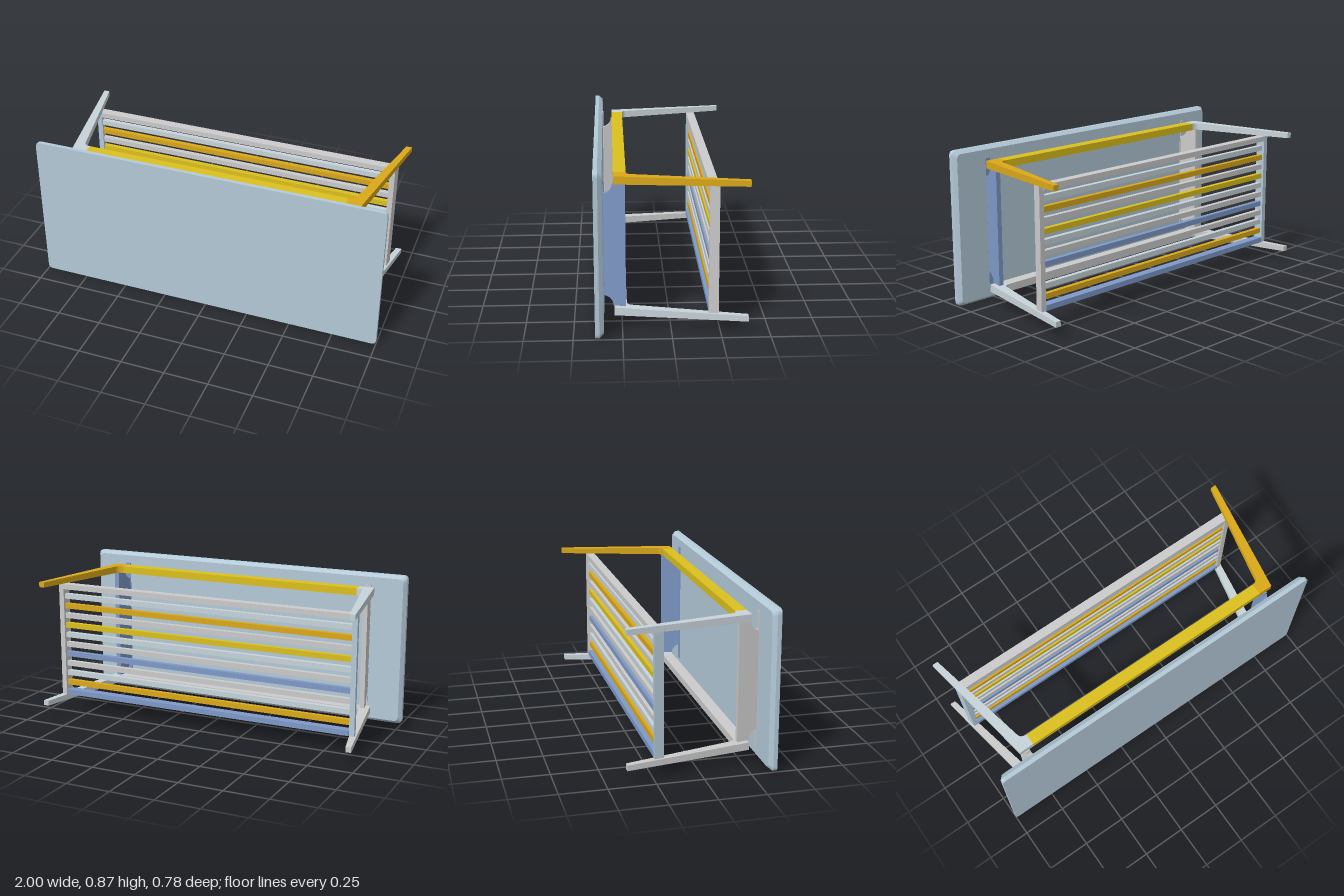
import * as THREE from 'three';

const GREY = 0xcccccc, PALE = 0xc8d4da, SKY = 0xb4cad8, BLUE = 0x7f9ac8, GOLD = 0xdba91a, YELLOW = 0xdcc01e;
const MID = 0.435; // mirror plane between the two long sides
const SLOPE = 0.176; // outward splay of the legs

function add(parent, name, geometry, color, x = 0, y = 0, z = 0) {
  const m = new THREE.Mesh(geometry, new THREE.MeshStandardMaterial({ color }));
  m.name = name;
  m.position.set(x, y, z);
  parent.add(m);
  return m;
}

// Move every vertex by a rule, then rebuild the flat normals
function warp(geometry, rule) {
  const p = geometry.attributes.position, v = new THREE.Vector3();
  for (let i = 0; i < p.count; i++) {
    rule(v.fromBufferAttribute(p, i));
    p.setXYZ(i, v.x, v.y, v.z);
  }
  geometry.computeVertexNormals();
  return geometry;
}

// Outline in x,z extruded downwards; the underside follows the leg taper
function taperedPlan(shape) {
  const g = new THREE.ExtrudeGeometry(shape, { depth: 0.04, bevelEnabled: false, curveSegments: 8 });
  g.rotateX(Math.PI / 2);
  return warp(g, v => { if (v.y < -0.01) v.y = -(0.0369 + 0.01765 * v.z); });
}

// Rounded board with a chamfer on its underside
function boardGeometry() {
  const w = 1, h = MID, r = 0.028, s = new THREE.Shape();
  s.moveTo(-w + r, -h);
  s.lineTo(w - r, -h).quadraticCurveTo(w, -h, w, -h + r);
  s.lineTo(w, h - r).quadraticCurveTo(w, h, w - r, h);
  s.lineTo(-w + r, h).quadraticCurveTo(-w, h, -w, h - r);
  s.lineTo(-w, -h + r).quadraticCurveTo(-w, -h, -w + r, -h);
  const g = new THREE.ExtrudeGeometry(s, { depth: 0.045, steps: 2, bevelEnabled: false, curveSegments: 6 });
  return warp(g, v => {
    if (v.z < 0.01) { v.x *= 0.982; v.y *= (h - 0.018) / h; }
  });
}

function legGeometry() {
  const s = new THREE.Shape();
  s.moveTo(0.75, 0.29);
  s.lineTo(0.832, 0.29).lineTo(0.952, -0.39).lineTo(0.92, -0.39).lineTo(0.79, 0.2);
  s.quadraticCurveTo(0.784, 0.225, 0.75, 0.225);
  return taperedPlan(s);
}

function railGeometry() {
  const s = new THREE.Shape();
  s.moveTo(-0.75, 0.225);
  s.lineTo(0.75, 0.225).lineTo(0.75, 0.29).lineTo(-0.75, 0.29);
  return taperedPlan(s);
}

// Upright web with concave notches beside the board, leaning like the legs
function webGeometry() {
  const s = new THREE.Shape(), r = 0.053;
  s.moveTo(0.23, 0.108);
  s.lineTo(0.295, 0.108);
  s.absarc(0.348, 0.11, r, Math.PI, Math.PI / 2, true);
  s.lineTo(0.348, 0.707);
  s.absarc(0.348, 0.76, r, -Math.PI / 2, -Math.PI, true);
  s.lineTo(0.23, 0.764);
  const g = new THREE.ExtrudeGeometry(s, { depth: 0.028, bevelEnabled: false, curveSegments: 10 });
  g.rotateY(-Math.PI / 2);
  return warp(g, v => { v.x += 0.795 + SLOPE * (0.345 - v.z); });
}

function endBarGeometry() {
  return warp(new THREE.BoxGeometry(0.03, 0.67, 0.05), v => { v.x -= SLOPE * v.z; });
}

export function createModel() {
  const root = new THREE.Group();
  root.name = 'slattedTable';

  add(root, 'tabletop', boardGeometry(), SKY, 0, MID, 0.345);

  // Legs and rails along both long sides
  for (const up of [1, -1]) {
    const side = new THREE.Group();
    side.name = up > 0 ? 'upperSideFrame' : 'lowerSideFrame';
    side.position.y = MID + up * 0.37;
    side.scale.y = up;
    root.add(side);
    add(side, 'sideRail', railGeometry(), up > 0 ? YELLOW : GREY);
    add(side, 'leftLeg', legGeometry(), up > 0 ? GOLD : PALE);
    add(side, 'rightLeg', legGeometry(), up > 0 ? PALE : GREY).scale.x = -1;
  }

  // End webs, mounting strips and shelf end bars
  for (const sx of [1, -1]) {
    const end = new THREE.Group();
    end.name = sx > 0 ? 'leftEnd' : 'rightEnd';
    end.scale.x = sx;
    root.add(end);
    add(end, 'endWeb', webGeometry(), sx > 0 ? BLUE : GREY);
    add(end, 'mountingStrip', new THREE.BoxGeometry(0.03, 0.74, 0.008), sx > 0 ? BLUE : GREY, 0.781, MID, 0.345);
    add(end, 'shelfEndBar', endBarGeometry(), sx > 0 ? GREY : SKY, 0.897, MID, -0.215);
  }

  // Shelf: deep outer bars with slimmer slats between
  const colors = [GREY, PALE, GOLD, GREY, YELLOW, PALE, GREY, BLUE, GREY, PALE, GOLD, BLUE];
  const last = colors.length - 1;
  colors.forEach((color, i) => {
    const outer = i === 0 || i === last;
    const g = new THREE.BoxGeometry(1.77, 0.03, outer ? 0.05 : 0.027);
    add(root, outer ? 'shelfSideBar' : 'shelfSlat', g, color, 0, 0.755 - (0.64 * i) / last, -0.215);
  });

  return root;
}
